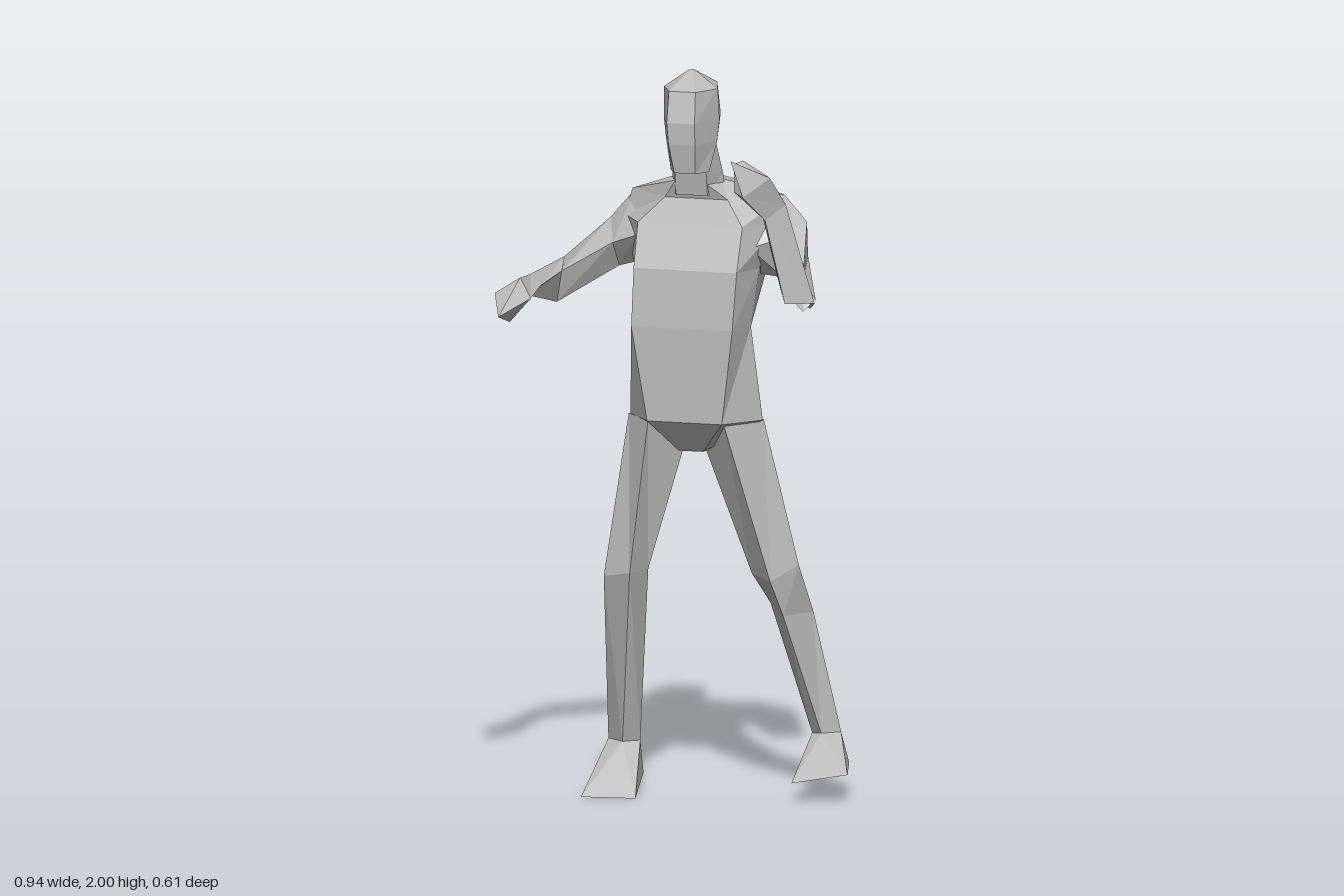
import * as THREE from 'three';
import { ConvexGeometry } from 'three/addons/geometries/ConvexGeometry.js';

// Closed faceted skin through a list of point rings; a one-point ring makes a tip.
function loft(rings) {
  const n = Math.max(...rings.map((r) => r.length));
  const tris = [];
  const at = (r, j) => r[j % r.length];
  const add = (a, b, c) => { if (a !== b && b !== c && c !== a) tris.push([a, b, c]); };
  for (let i = 0; i < rings.length - 1; i++) {
    const p = rings[i], q = rings[i + 1];
    for (let j = 0; j < n; j++) {
      const k = (j + 1) % n;
      add(at(p, j), at(p, k), at(q, k));
      add(at(p, j), at(q, k), at(q, j));
    }
  }
  const first = rings[0], last = rings[rings.length - 1];
  for (let j = 1; j < n - 1; j++) {
    add(at(first, 0), at(first, j + 1), at(first, j));
    add(at(last, 0), at(last, j), at(last, j + 1));
  }
  // Turn the faces outward whichever way the rings were listed
  const c = first[0];
  const sub = (p) => new THREE.Vector3(p[0] - c[0], p[1] - c[1], p[2] - c[2]);
  const volume = tris.reduce((s, t) => s + sub(t[0]).dot(sub(t[1]).cross(sub(t[2]))), 0);
  if (volume < 0) tris.forEach((t) => t.reverse());
  const g = new THREE.BufferGeometry();
  g.setAttribute('position', new THREE.Float32BufferAttribute(tris.flat(2), 3));
  g.computeVertexNormals();
  return g;
}

// Six-sided body section: half width and depth of its front, side and back pairs
const section = ([y, cx, wf, zf, ws, zs, wb, zb]) => [
  [cx - wf, y, zf], [cx + wf, y, zf], [cx + ws, y, zs],
  [cx + wb, y, zb], [cx - wb, y, zb], [cx - ws, y, zs],
];

export function createModel() {
  const model = new THREE.Group();
  model.name = 'figure';
  const grey = new THREE.MeshStandardMaterial({ color: 0xbbbbbb, flatShading: true });
  grey.name = 'plain grey';
  const part = (name, geometry) => {
    const mesh = new THREE.Mesh(geometry, grey);
    mesh.name = name;
    model.add(mesh);
  };

  // Torso, from crotch to neck base
  part('torso', loft([
    [0.95, 0.004, 0.035, -0.07, 0.04, -0.12, 0.035, -0.18],
    [1.04, 0.008, 0.107, 0, 0.19, -0.11, 0.1, -0.26],
    [1.3, 0, 0.145, 0, 0.167, -0.1, 0.11, -0.205],
    [1.46, 0.005, 0.148, -0.015, 0.18, -0.12, 0.165, -0.255],
    [1.58, 0.005, 0.15, -0.06, 0.225, -0.18, 0.19, -0.3],
    [1.65, 0.015, 0.09, -0.085, 0.22, -0.2, 0.2, -0.23],
    [1.7, 0, 0.04, -0.07, 0.07, -0.14, 0.04, -0.21],
  ].map(section)));

  part('neck', loft([
    [1.66, 0.005, 0.045, -0.075, 0.078, -0.14, 0.045, -0.22],
    [1.72, 0.005, 0.045, -0.065, 0.072, -0.13, 0.045, -0.2],
    [1.81, 0, 0.04, -0.05, 0.066, -0.1, 0.045, -0.15],
  ].map(section)));

  part('head', loft([
    [1.73, 0.005, 0.03, -0.012, 0.055, -0.06, 0.035, -0.085],
    [1.81, 0, 0.038, 0, 0.073, -0.09, 0.045, -0.15],
    [1.87, -0.003, 0.04, 0, 0.08, -0.1, 0.05, -0.205],
    [1.955, -0.005, 0.038, -0.02, 0.077, -0.1, 0.04, -0.212],
    [2, -0.008, 0.006, -0.11, 0.01, -0.12, 0.006, -0.125],
  ].map(section)));

  // Legs: each ring runs front, inner, back, outer
  const rightAnkle = [[-0.2, 0.13, -0.095], [-0.16, 0.13, -0.13], [-0.2, 0.12, -0.18], [-0.255, 0.13, -0.14]];
  part('rightLeg', loft([
    [[-0.1, 1.04, -0.01], [-0.03, 0.95, -0.11], [-0.1, 1.03, -0.245], [-0.187, 1.04, -0.11]],
    [[-0.14, 0.62, 0.03], [-0.115, 0.62, -0.06], [-0.17, 0.6, -0.11], [-0.23, 0.6, -0.02]],
    rightAnkle,
  ]));
  const leftAnkle = [[0.34, 0.165, -0.19], [0.305, 0.16, -0.22], [0.345, 0.17, -0.27], [0.385, 0.165, -0.23]];
  part('leftLeg', loft([
    [[0.115, 1.04, -0.015], [0.035, 0.95, -0.11], [0.11, 1.03, -0.25], [0.198, 1.04, -0.12]],
    [[0.235, 0.6, -0.06], [0.16, 0.61, -0.13], [0.22, 0.62, -0.225], [0.295, 0.64, -0.13]],
    [[0.26, 0.5, -0.1], [0.195, 0.52, -0.19], [0.245, 0.5, -0.295], [0.315, 0.5, -0.2]],
    leftAnkle,
  ]));

  // Wedge feet: ankle ring joined to a flat sole
  const foot = (name, ankle, sole) =>
    part(name, new ConvexGeometry([...ankle, ...sole].map((p) => new THREE.Vector3(...p))));
  foot('rightFoot', rightAnkle,
    [[-0.265, 0, 0.077], [-0.115, 0, 0.057], [-0.24, 0.03, -0.195], [-0.17, 0.03, -0.19]]);
  foot('leftFoot', leftAnkle,
    [[0.315, 0.055, 0], [0.465, 0.08, -0.036], [0.39, 0.07, -0.287], [0.31, 0.06, -0.28]]);

  // Right arm reaching forward: rings run top, inner, bottom, outer
  const rightElbow = [[-0.4, 1.45, -0.2], [-0.37, 1.43, -0.08], [-0.39, 1.34, -0.1], [-0.447, 1.38, -0.155]];
  const rightWrist = [[-0.4, 1.45, 0.11], [-0.37, 1.42, 0.11], [-0.4, 1.39, 0.11], [-0.44, 1.42, 0.11]];
  part('rightArm', loft([
    [[-0.2, 1.645, -0.205], [-0.155, 1.54, -0.09], [-0.16, 1.46, -0.15], [-0.185, 1.57, -0.285]],
    [[-0.27, 1.565, -0.21], [-0.235, 1.51, -0.115], [-0.23, 1.44, -0.16], [-0.265, 1.5, -0.255]],
    rightElbow, rightWrist,
  ]));
  part('rightHand', loft([
    rightWrist,
    [[-0.4, 1.455, 0.2], [-0.367, 1.4, 0.21], [-0.43, 1.33, 0.2], [-0.47, 1.41, 0.21]],
    [[-0.43, 1.36, 0.305]],
  ]));

  // Left arm bent up in front of the shoulder
  part('leftUpperArm', loft([
    [[0.23, 1.655, -0.2], [0.17, 1.52, -0.08], [0.17, 1.44, -0.15], [0.215, 1.57, -0.285]],
    [[0.295, 1.58, -0.205], [0.235, 1.54, -0.12], [0.24, 1.43, -0.16], [0.285, 1.48, -0.245]],
    [[0.345, 1.45, -0.01], [0.3, 1.43, 0.04], [0.355, 1.37, 0.02], [0.385, 1.4, 0]],
  ]));
  // Rings run outer, front, inner, back
  const leftWrist = [[0.315, 1.67, 0.05], [0.27, 1.63, 0.095], [0.25, 1.64, 0.06], [0.29, 1.66, 0.025]];
  part('leftForearm', loft([
    [[0.39, 1.395, 0.026], [0.325, 1.4, 0.09], [0.29, 1.43, 0.02], [0.36, 1.37, -0.03]],
    leftWrist,
  ]));
  part('leftHand', loft([
    leftWrist,
    [[0.285, 1.75, 0.1], [0.225, 1.7, 0.155], [0.19, 1.71, 0.125], [0.25, 1.755, 0.055]],
    [[0.225, 1.775, 0.11], [0.19, 1.8, 0.155], [0.185, 1.785, 0.11], [0.2, 1.79, 0.075]],
  ]));
  return model;
}
